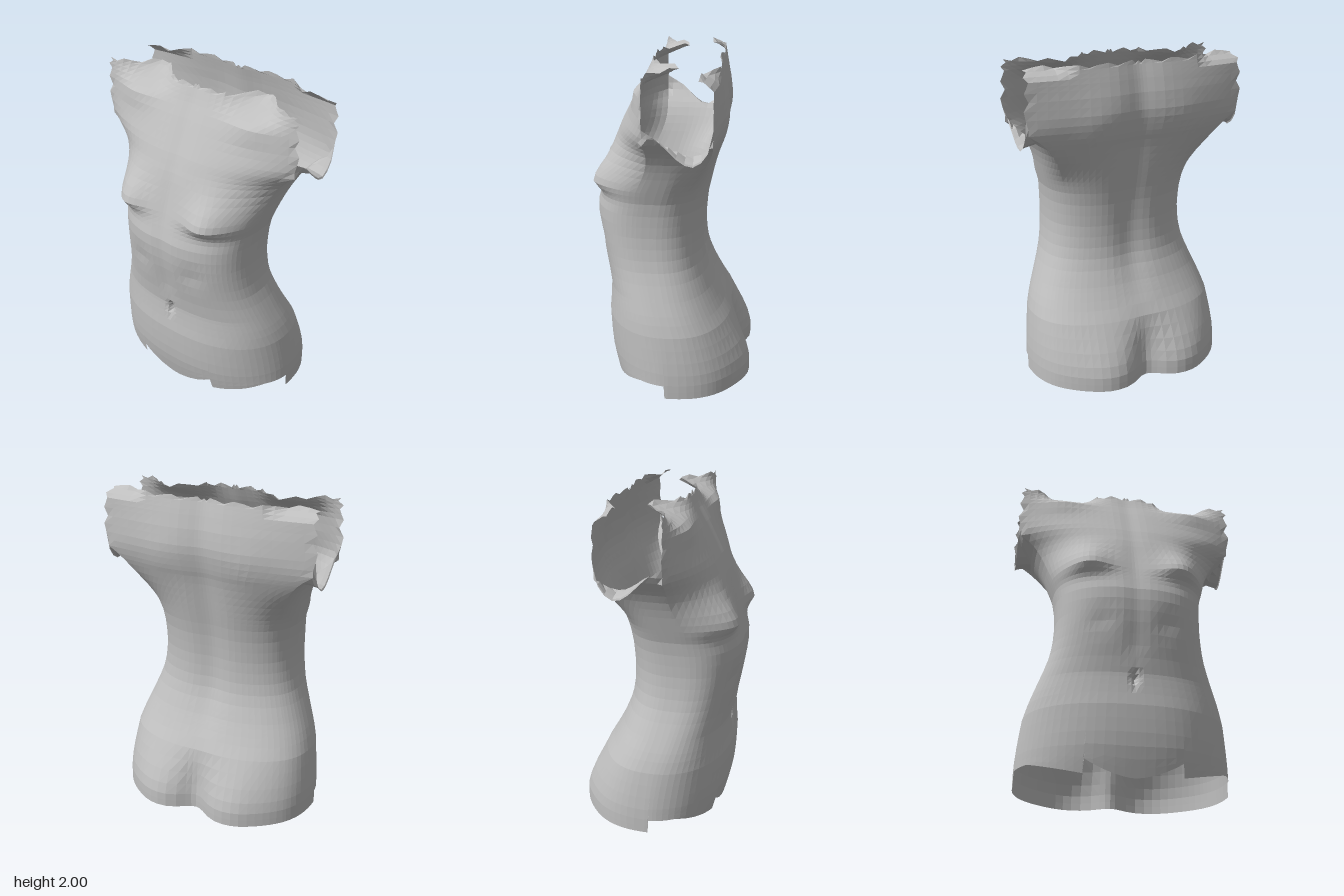
import * as THREE from 'three';

// height, half width, front z, back z, z of the widest point
const PROFILE = [
  [0.0, 0.64, 0.37, -0.483, 0.0], [0.1, 0.64, 0.395, -0.483, 0.0], [0.2, 0.635, 0.415, -0.458, 0.0],
  [0.4, 0.61, 0.425, -0.37, 0.02], [0.5, 0.58, 0.415, -0.31, 0.05], [0.6, 0.54, 0.41, -0.26, 0.08],
  [0.7, 0.5, 0.425, -0.22, 0.1], [0.8, 0.465, 0.445, -0.193, 0.12], [0.95, 0.445, 0.475, -0.188, 0.13],
  [1.1, 0.447, 0.487, -0.2, 0.12], [1.2, 0.46, 0.46, -0.217, 0.1], [1.4, 0.52, 0.4, -0.258, 0.04],
  [1.5, 0.56, 0.37, -0.28, 0], [1.56, 0.605, 0.345, -0.3, -0.02], [1.61, 0.66, 0.325, -0.312, -0.03],
  [1.66, 0.69, 0.3, -0.322, -0.04], [1.7, 0.695, 0.28, -0.327, -0.04], [1.8, 0.69, 0.23, -0.32, -0.05],
  [1.9, 0.685, 0.175, -0.3, -0.06], [2.0, 0.67, 0.13, -0.275, -0.07],
];
const ARM_FRONT = 79, ARM_BACK = 122; // angles that bound the arm opening
const EDGE_Z = [0.13, -0.255]; // depth of the arm opening's front and back edges

const { lerp, smoothstep } = THREE.MathUtils;
const bump = (v, centre, radius) => Math.exp(-(((v - centre) / radius) ** 2));

function profileAt(y) {
  let i = 1;
  while (i < PROFILE.length - 1 && PROFILE[i][0] < y) i++;
  const a = PROFILE[i - 1], b = PROFILE[i];
  const k = (y - a[0]) / (b[0] - a[0]);
  return a.map((v, n) => lerp(v, b[n], k));
}

// Stepped lower hem: a scoop in front, a rising side panel, a level back
function hem(angle) {
  if (angle < 21.8) return 0.1 * (angle / 21.8) ** 1.4;
  if (angle < 86.3) return 0.02 + 0.08 * Math.min(1, (angle - 21.8) / 40);
  return 0.015;
}

// One point of the half body: angle 0 is the front middle, 180 the back middle
function bodyPoint(angle, height, row, col, lastRow) {
  let y = height < 0.25 ? height + hem(angle) * (1 - height / 0.25) ** 2 : height;
  const [, w, front, back, mid] = profileAt(y);
  const t = THREE.MathUtils.degToRad(angle), c = Math.cos(t);

  // rounded section of the trunk, squarer in front towards the ribs
  const lowX = w * Math.max(0, Math.sin(t)) ** 0.82;
  const power = lerp(1.05, 0.74, smoothstep(y, 0.1, 0.9));
  const lowZ = mid + (c > 0 ? c ** power * (front - mid) : (-c) ** 0.82 * (back - mid));

  // chest and back sheets either side of the arm opening
  let highX = w, highZ, droop = 0;
  if (angle <= ARM_FRONT) {
    const f = angle / ARM_FRONT;
    highX = w * f;
    highZ = lerp(front, EDGE_Z[0], f ** 2.5);
  } else if (angle >= ARM_BACK) {
    const f = (180 - angle) / (180 - ARM_BACK);
    highX = w * f;
    highZ = lerp(back, EDGE_Z[1], f * f);
  } else {
    // the armpit rim falls from the chest, then climbs to the back
    const f = (angle - ARM_FRONT) / (ARM_BACK - ARM_FRONT);
    highZ = lerp(EDGE_Z[0], EDGE_Z[1], f);
    const rim = 1.7 - 0.155 * smoothstep(f, 0, 0.7) + 0.08 * smoothstep(f, 0.75, 1);
    droop = 1.2 * Math.max(0, y - rim);
  }
  const k = smoothstep(y, 1.25, 1.65);
  let x = lerp(lowX, highX, k), z = lerp(lowZ, highZ, k);

  if (angle < 90) {
    // bust with a tight lower crease, breastbone, ribs and navel
    z += 0.085 * bump(x, 0.3, 0.14) * bump(y, 1.29, y < 1.29 ? 0.06 : 0.15);
    z -= 0.01 * bump(x, 0, 0.06) * smoothstep(y, 0.65, 0.8);
    z -= 0.012 * bump(x, 0.2, 0.08) * bump(y, 0.92, 0.07);
    z -= 0.05 * bump(x, 0, 0.018) * bump(y, 0.575, 0.035);
    // shoulder swell that folds back along the top
    z += 0.028 * bump(x, 0.42, 0.14) * smoothstep(y, 1.72, 1.88);
    z -= 0.21 * bump(x, 0.38, 0.14) * smoothstep(y, 1.86, 2.0);
  } else {
    // buttocks, cleft, spine groove and shoulder blades
    const low = 1 - smoothstep(y, 0.1, 0.48);
    z -= 0.025 * bump(x, 0.3, 0.14) * low;
    z += 0.09 * bump(x, 0, 0.11) * low;
    z += 0.026 * bump(x, 0, 0.1) * smoothstep(y, 0.35, 0.8);
    z -= 0.012 * bump(x, 0.28, 0.12) * bump(y, 1.6, 0.18);
    z += 0.09 * smoothstep(x, 0.38, 0.5) * smoothstep(y, 1.92, 2.0);
  }

  // drooping armpit and torn rims
  y -= droop;
  if ((angle === ARM_FRONT || angle === ARM_BACK) && y > 1.6) x += 0.016 * Math.sin(row * 2.4);
  if (row === lastRow) y += 0.012 * Math.sin(col * 2.1);
  return [x, y, z];
}

function createBodyGeometry() {
  // columns are finer at the middle lines and at the hem steps
  const angles = [0, 1.2, 3, 7, 12, 17, 21.5, 22.1];
  for (let a = 27; a < ARM_FRONT; a += 5.2) angles.push(a);
  angles.push(ARM_FRONT, 82.5, 86, 86.6, 90, 95, 100, 105, 110, 115, 119);
  for (let i = 0; i <= 10; i++) angles.push(ARM_BACK + i * 5.1);
  angles.push(176.5, 178.5, 180);
  const half = angles.length - 1;

  const heights = [0, 0.05, 0.1, 0.17, 0.25, 0.33, 0.41, 0.48, 0.53, 0.555, 0.58, 0.605, 0.64];
  for (let y = 0.7; y < 1.15; y += 0.07) heights.push(y);
  heights.push(1.17, 1.2, 1.225, 1.25, 1.28, 1.32, 1.37, 1.42, 1.47, 1.52, 1.55, 1.58, 1.62, 1.66);
  heights.push(1.71, 1.76, 1.81, 1.86, 1.89, 1.92, 1.945, 1.967, 1.985);
  const last = heights.length - 1;

  const positions = [], index = [];
  const stride = half * 2 + 1;
  heights.forEach((y, row) => {
    for (let i = -half; i <= half; i++) {
      const col = Math.abs(i);
      const p = bodyPoint(angles[col], y, row, col, last);
      positions.push(i < 0 ? -p[0] : p[0], p[1], p[2]);
    }
  });

  for (let row = 0; row < last; row++) {
    for (let i = 0; i < stride - 1; i++) {
      // leave the arm openings empty
      const centre = (angles[Math.abs(i - half)] + angles[Math.abs(i + 1 - half)]) / 2;
      if (centre > ARM_FRONT && centre < ARM_BACK && heights[row] > 1.67) continue;
      const a = row * stride + i, b = a + 1, c = b + stride, d = a + stride;
      index.push(a, b, c, a, c, d);
    }
  }
  const geometry = new THREE.BufferGeometry();
  geometry.setAttribute('position', new THREE.Float32BufferAttribute(positions, 3));
  geometry.setIndex(index);
  geometry.computeVertexNormals();
  return geometry;
}

export function createModel() {
  const group = new THREE.Group();
  group.name = 'torso';
  const grey = new THREE.MeshStandardMaterial({ color: 0xbfbfbf, flatShading: true, side: THREE.DoubleSide });
  grey.name = 'plain grey';
  const shell = new THREE.Mesh(createBodyGeometry(), grey);
  shell.name = 'torsoShell';
  group.add(shell);
  return group;
}
